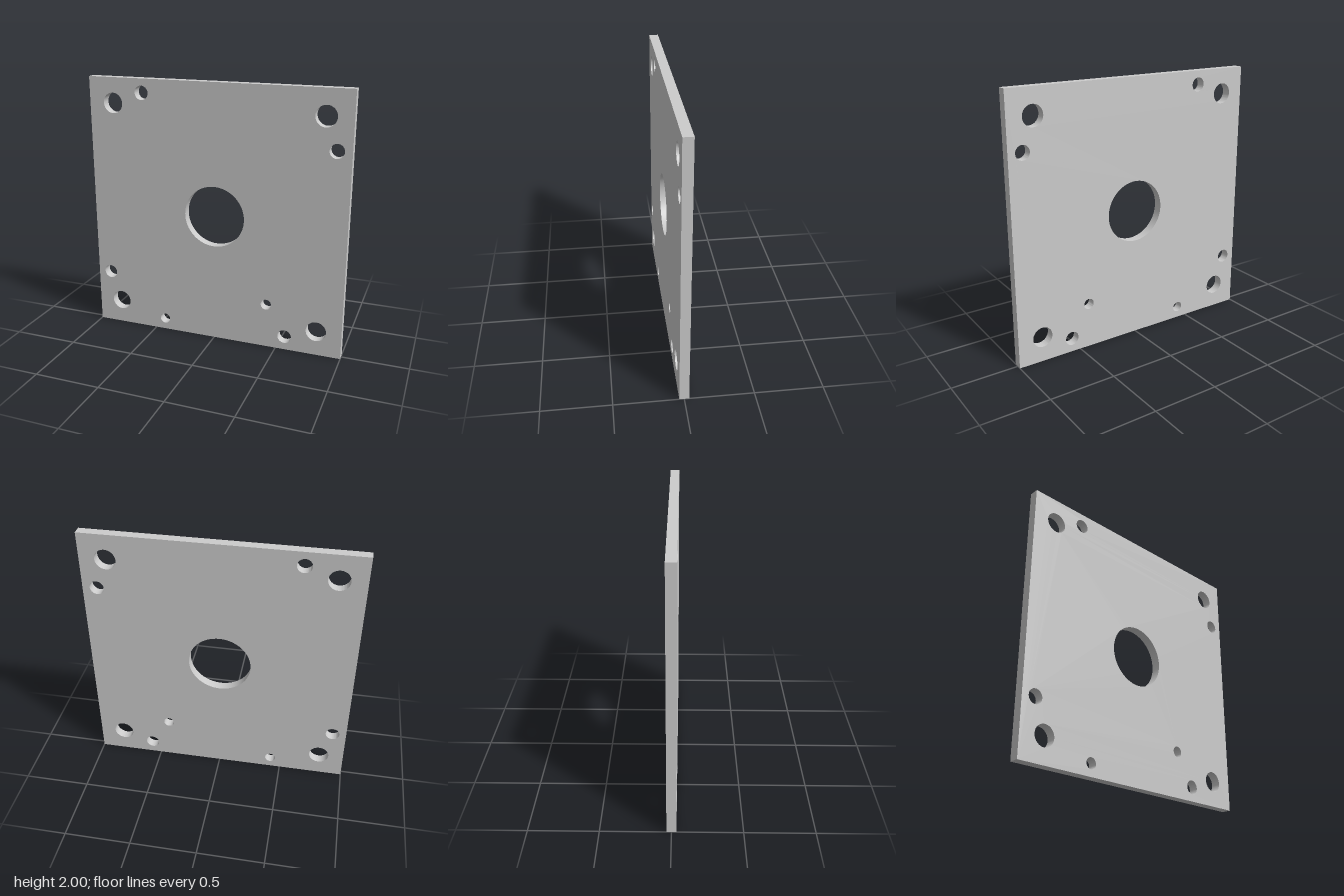
import * as THREE from 'three';
import { toCreasedNormals } from 'three/addons/utils/BufferGeometryUtils.js';

const SIZE = 2;
const THICKNESS = 0.07;

// Holes as [x, y, radius]
const centreBore = [0, 1, 0.234];
const cornerHoles = [-1, 1].flatMap((sx) => [-1, 1].map((sy) => [sx * 0.808, 1 + sy * 0.808, 0.077]));
const mediumHoles = [[-0.572, 1.895], [0.893, 1.572], [-0.895, 0.433], [0.567, 0.107]].map(([x, y]) => [x, y, 0.053]);
const smallHoles = [[0.417, 0.349], [-0.42, 0.092]].map(([x, y]) => [x, y, 0.041]);

export function createModel() {
  const group = new THREE.Group();
  group.name = 'mountingPlate';

  // Square outline standing on the ground
  const h = SIZE / 2;
  const outline = new THREE.Shape();
  outline.moveTo(-h, 0).lineTo(h, 0).lineTo(h, SIZE).lineTo(-h, SIZE).closePath();

  // Through holes
  for (const [x, y, r] of [centreBore, ...cornerHoles, ...mediumHoles, ...smallHoles]) {
    outline.holes.push(new THREE.Path().absarc(x, y, r, 0, Math.PI * 2, true));
  }

  // Flat plate with smooth hole walls and sharp edges
  const geometry = new THREE.ExtrudeGeometry(outline, { depth: THICKNESS, bevelEnabled: false, curveSegments: 32 });
  geometry.translate(0, 0, -THICKNESS / 2);

  const plate = new THREE.Mesh(
    toCreasedNormals(geometry, Math.PI / 6),
    new THREE.MeshStandardMaterial({ color: 0xcccccc })
  );
  plate.name = 'drilledPlate';
  group.add(plate);
  return group;
}
